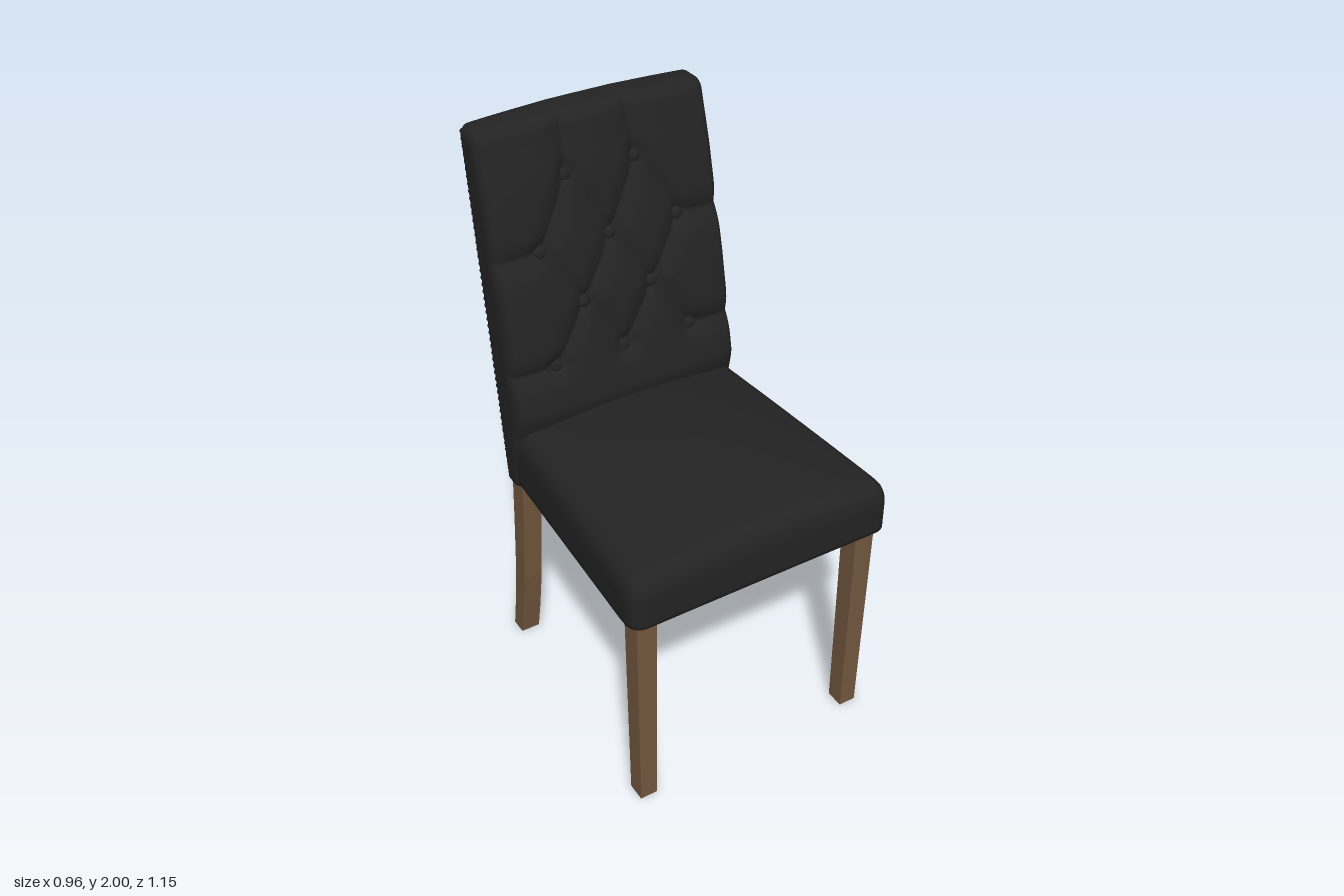
import * as THREE from 'three';
import { mergeVertices, mergeGeometries } from 'three/addons/utils/BufferGeometryUtils.js';

const { lerp, clamp } = THREE.MathUtils;

// Subdivided box with elliptical rounding (r = [x, yTop, yBottom, zFront, zBack]), then bent by a rule
function softBox(size, segs, r, bend) {
  const box = new THREE.BoxGeometry(...size, ...segs);
  const pos = box.attributes.position;
  const p = new THREE.Vector3();
  const round = (v, half, rad) => {
    const inner = clamp(v, -(half - rad), half - rad);
    return [inner, (v - inner) / rad, rad];
  };
  for (let i = 0; i < pos.count; i++) {
    p.fromBufferAttribute(pos, i);
    const axes = [
      round(p.x, size[0] / 2, r[0]),
      round(p.y, size[1] / 2, p.y > 0 ? r[1] : r[2]),
      round(p.z, size[2] / 2, p.z > 0 ? r[3] : r[4]),
    ];
    const len = Math.hypot(...axes.map(a => a[1])) || 1;
    const big = Math.max(...axes.map(a => Math.abs(a[1])));
    const k = big > 0 ? big / len : 1;
    p.set(...axes.map(a => a[0] + a[1] * k * a[2]));
    bend(p);
    pos.setXYZ(i, p.x, p.y, p.z);
  }
  box.deleteAttribute('normal');
  box.deleteAttribute('uv');
  const geo = mergeVertices(box, 1e-5);
  geo.computeVertexNormals();
  return geo;
}

// Tufting: button positions and the creases that join them
const buttons = [];
[[1.195, [-0.26, 0, 0.26]], [1.385, [-0.13, 0.13]], [1.58, [-0.26, 0, 0.26]], [1.8, [-0.13, 0.13]]]
  .forEach(([y, xs]) => xs.forEach(x => buttons.push([x, y])));
const creases = [];
for (const a of buttons) {
  for (const b of buttons) {
    if (b[1] > a[1] && b[1] - a[1] < 0.25 && Math.abs(b[0] - a[0]) < 0.14) creases.push([a, b]);
  }
  if (Math.abs(a[0]) > 0.2) creases.push([a, [Math.sign(a[0]) * 0.5, a[1] - 0.008]]);
  if (a[1] > 1.7) creases.push([a, [a[0] * 0.9, 2.05]]);
}
function segmentDistance(x, y, [a, b]) {
  const dx = b[0] - a[0], dy = b[1] - a[1];
  const t = clamp(((x - a[0]) * dx + (y - a[1]) * dy) / (dx * dx + dy * dy), 0, 1);
  return Math.hypot(x - a[0] - t * dx, y - a[1] - t * dy);
}
function tuft(x, y) {
  const d = Math.min(...creases.map(c => segmentDistance(x, y, c)));
  const b = Math.min(...buttons.map(c => Math.hypot(x - c[0], y - c[1])));
  return 0.01 * Math.exp(-d / 0.01) + 0.016 * Math.exp(-((d / 0.045) ** 2)) + 0.016 * Math.exp(-((b / 0.035) ** 2));
}

// Backrest surfaces
const THICKNESS = [[0.75, 0.11], [0.92, 0.14], [1.05, 0.185], [1.2, 0.183], [1.4, 0.178], [1.75, 0.15], [1.99, 0.12]];
function thickness(y) {
  let i = 0;
  while (i < THICKNESS.length - 2 && y > THICKNESS[i + 1][0]) i++;
  const [a, b] = [THICKNESS[i], THICKNESS[i + 1]];
  return lerp(a[1], b[1], THREE.MathUtils.smoothstep(y, a[0], b[0]) * 0.4 + 0.6 * clamp((y - a[0]) / (b[0] - a[0]), 0, 1));
}
const rearZ = (x, y) => -0.37 - 0.163 * (y - 0.75) - 0.008 * (1 - (x / 0.43) ** 2);
const frontZ = (x, y) => rearZ(x, y) + thickness(y) - 0.025 * (x / 0.43) ** 4 - tuft(x, y);
function bendBack(p) {
  const { x } = p, y = p.y + 1.369, t = (y - 0.75) / 1.24;
  p.z = lerp(rearZ(x, y), frontZ(x, y), p.z + 0.5);
  p.y = y + 0.012 * (1 - (x / 0.43) ** 2) * t;
  p.x = x * (1 - 0.03 * t);
}

// Seat: trapezoid plan, crowned top, hollow underside
const seatBottom = z => 0.79 + (z - 0.575) * 0.039;
function bendSeat(p) {
  const u = p.x, z = p.z + 0.115, h = (p.y + 0.095) / 0.19;
  const crown = 0.065 * (1 - u * u) * (1 - 0.6 * (p.z / 0.46) ** 2);
  p.x = u * lerp(0.424, 0.48, clamp((z + 0.3) / 0.8, 0, 1));
  p.y = lerp(seatBottom(z), 0.98 + crown, h);
  p.z = z;
  if (h < 0.01 && Math.abs(u) < 0.92 && z > -0.3 && z < 0.53) p.y += 0.07;
}

export function createModel() {
  const model = new THREE.Group();
  model.name = 'diningChair';
  const fabric = new THREE.MeshStandardMaterial({ color: 0x232324 });
  fabric.name = 'black upholstery';
  const wood = new THREE.MeshStandardMaterial({ color: 0x73583f });
  wood.name = 'brown wood';
  const add = (name, geo, mat) => {
    const mesh = new THREE.Mesh(geo, mat);
    mesh.name = name;
    model.add(mesh);
    return mesh;
  };

  add('seat', softBox([2, 0.19, 0.92], [44, 16, 44], [0.1, 0.08, 0.015, 0.05, 0.03], bendSeat), fabric);
  add('backrest', softBox([0.86, 1.238, 1], [100, 140, 12], [0.03, 0.04, 0.01, 0.35, 0.12], bendBack), fabric);

  // Thin inset panel on the rear of the backrest
  add('rearPanel', softBox([0.78, 1.16, 0.06], [20, 24, 1], [0.006, 0.006, 0.006, 0.02, 0.02], p => {
    const z = p.z;
    p.z = 0;
    bendBack(p);
    p.z = rearZ(p.x, p.y) + z * 0.12;
  }), fabric);

  // Tufting buttons
  for (const [x, y] of buttons) {
    const b = add('tuftButton', new THREE.SphereGeometry(0.023, 16, 10), fabric);
    b.scale.z = 0.6;
    b.rotation.x = -0.16;
    b.position.set(x * 0.985, y, frontZ(x, y) + 0.008);
  }

  // Rows of nail heads along the rear side edges
  const nails = [];
  for (const s of [-1, 1]) {
    for (let y = 0.79; y < 1.97; y += 0.024) {
      const x = s * (0.427 - 0.0105 * (y - 0.75));
      nails.push(new THREE.SphereGeometry(0.008, 8, 6).translate(x - s * 0.006, y, rearZ(x, y) + 0.006));
    }
  }
  add('nailHeads', mergeGeometries(nails), fabric);

  // Straight beam between two points under the seat
  const beam = (name, x1, z1, x2, z2, width) => {
    const a = new THREE.Vector3(x1, seatBottom(z1) + 0.03, z1);
    const b = new THREE.Vector3(x2, seatBottom(z2) + 0.03, z2);
    const m = add(name, new THREE.BoxGeometry(width, 0.05, a.distanceTo(b)), wood);
    m.position.copy(a).lerp(b, 0.5);
    m.lookAt(b);
  };
  beam('frontRail', -0.42, 0.505, 0.42, 0.505, 0.045);
  beam('backRail', -0.39, -0.24, 0.39, -0.24, 0.045);

  // Back leg side profile, swept backwards
  const line = [[-0.33, 0.8], [-0.333, 0.72], [-0.346, 0.55], [-0.369, 0.3], [-0.395, 0.13], [-0.42, 0]];
  const half = y => 0.03 + 0.009 * y / 0.8;
  const profile = new THREE.Shape([
    ...line.map(([z, y]) => new THREE.Vector2(z + half(y), y)),
    ...line.slice().reverse().map(([z, y]) => new THREE.Vector2(z - half(y), y)),
  ]);

  for (const s of [-1, 1]) {
    const side = s > 0 ? 'left' : 'right';
    beam(side + 'Rail', s * 0.42, 0.5, s * 0.382, -0.25, 0.04);
    beam(side + 'FrontCornerBlock', s * 0.41, 0.43, s * 0.34, 0.5, 0.03);
    beam(side + 'BackCornerBlock', s * 0.38, -0.17, s * 0.31, -0.24, 0.03);

    // Front leg, slightly tapered
    const front = new THREE.BoxGeometry(0.072, 0.84, 0.076);
    const pos = front.attributes.position;
    for (let i = 0; i < pos.count; i++) {
      if (pos.getY(i) < 0) pos.setXYZ(i, pos.getX(i) * 0.86 - s * 0.004, pos.getY(i), pos.getZ(i) * 0.86);
    }
    front.computeVertexNormals();
    add(side + 'FrontLeg', front, wood).position.set(s * 0.414, 0.42, 0.502);

    const back = new THREE.ExtrudeGeometry(profile, { depth: 0.07, bevelEnabled: false });
    back.translate(0, 0, -0.035).rotateY(-Math.PI / 2);
    add(side + 'BackLeg', back, wood).position.x = s * 0.378;
  }
  return model;
}
